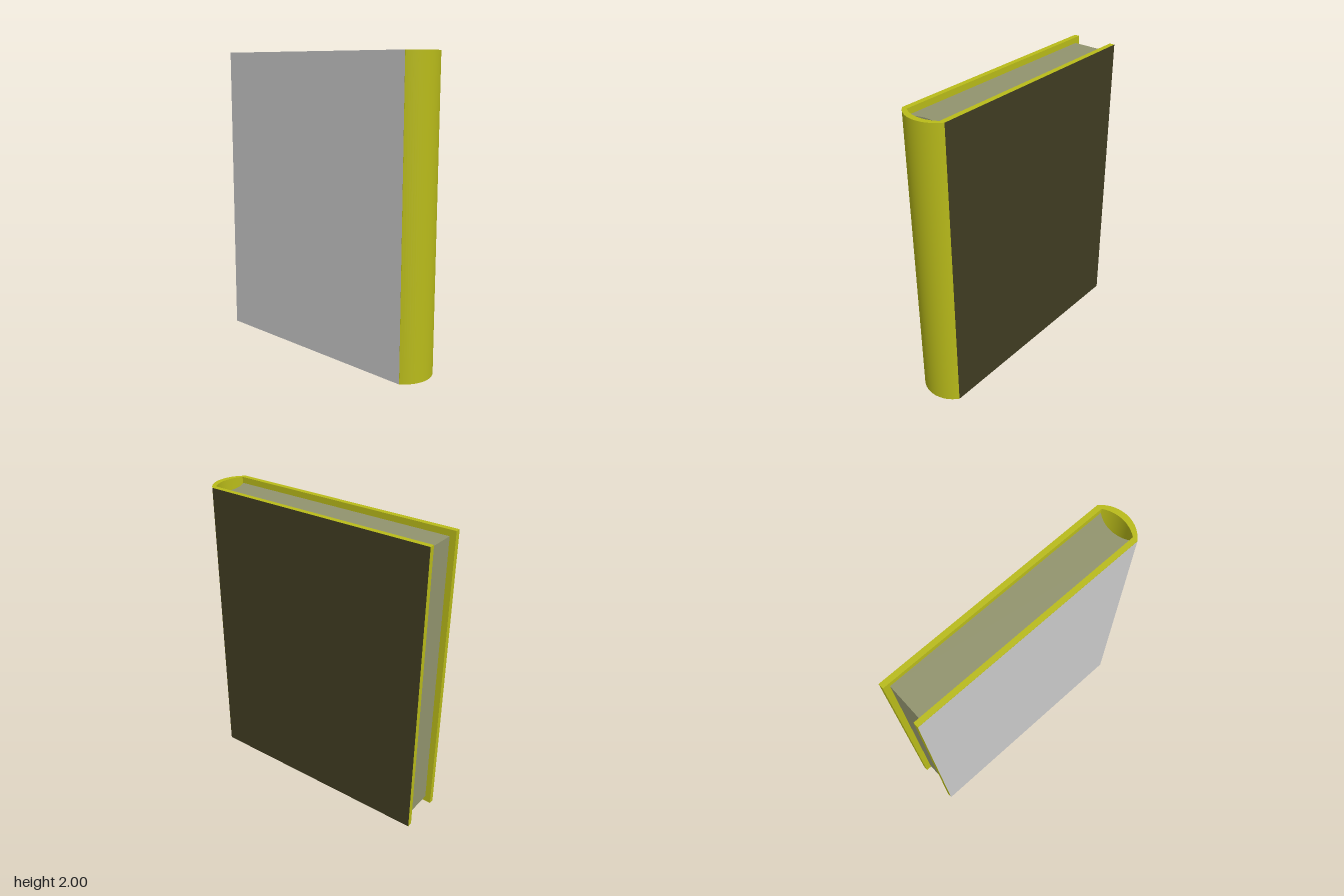
import * as THREE from 'three';
import { toCreasedNormals } from 'three/addons/utils/BufferGeometryUtils.js';

const HALF_W = 0.16, INNER_W = 0.125, BACK = -0.843, HINGE = 0.764;

// Points of a shallow arc across x = -w..w, bulging by sag in z
function arc(w, z, sag, steps = 24) {
  const r = (w * w + sag * sag) / (2 * Math.abs(sag));
  const half = Math.asin(w / r);
  const s = Math.sign(sag);
  const pts = [];
  for (let i = 0; i <= steps; i++) {
    const a = -half + (2 * half * i) / steps;
    pts.push(new THREE.Vector2(r * Math.sin(a), z + s * r * (Math.cos(a) - Math.cos(half))));
  }
  return pts;
}

// Extrudes an x-z outline upward from y0 to y1
function upright(points, y0, y1, material, name) {
  const geo = new THREE.ExtrudeGeometry(new THREE.Shape(points), { depth: y1 - y0, bevelEnabled: false });
  geo.rotateX(Math.PI / 2).translate(0, y1, 0);
  const mesh = new THREE.Mesh(toCreasedNormals(geo, 0.5), material);
  mesh.name = name;
  return mesh;
}

export function createModel() {
  const book = new THREE.Group();
  book.name = 'book';
  const mat = (color) => new THREE.MeshStandardMaterial({ color });
  const v = (x, z) => new THREE.Vector2(x, z);

  // Cover: two boards joined by the rounded spine, open at the back
  const cover = [
    v(-HALF_W, BACK), ...arc(HALF_W, HINGE, 0.079), v(HALF_W, BACK),
    v(INNER_W, BACK), ...arc(INNER_W, HINGE, 0.04).reverse(), v(-INNER_W, BACK),
  ];
  book.add(upright(cover, 0, 2, mat(0xb9bb1a), 'cover'));

  // Page block, inset from the cover edges, hollowed towards the spine
  const pages = [v(-INNER_W, -0.803), ...arc(INNER_W, HINGE, -0.042), v(INNER_W, -0.803)];
  book.add(upright(pages, 0.04, 1.96, mat(0x92946e), 'pages'));

  // Coloured faces on the outside of the boards
  for (const [side, color, name] of [[1, 0x403c22, 'leftBoardFace'], [-1, 0xcccccc, 'rightBoardFace']]) {
    const face = new THREE.Mesh(new THREE.PlaneGeometry(HINGE - BACK, 2), mat(color));
    face.rotation.y = (side * Math.PI) / 2;
    face.position.set(side * (HALF_W + 0.001), 1, (HINGE + BACK) / 2);
    face.name = name;
    book.add(face);
  }
  return book;
}
